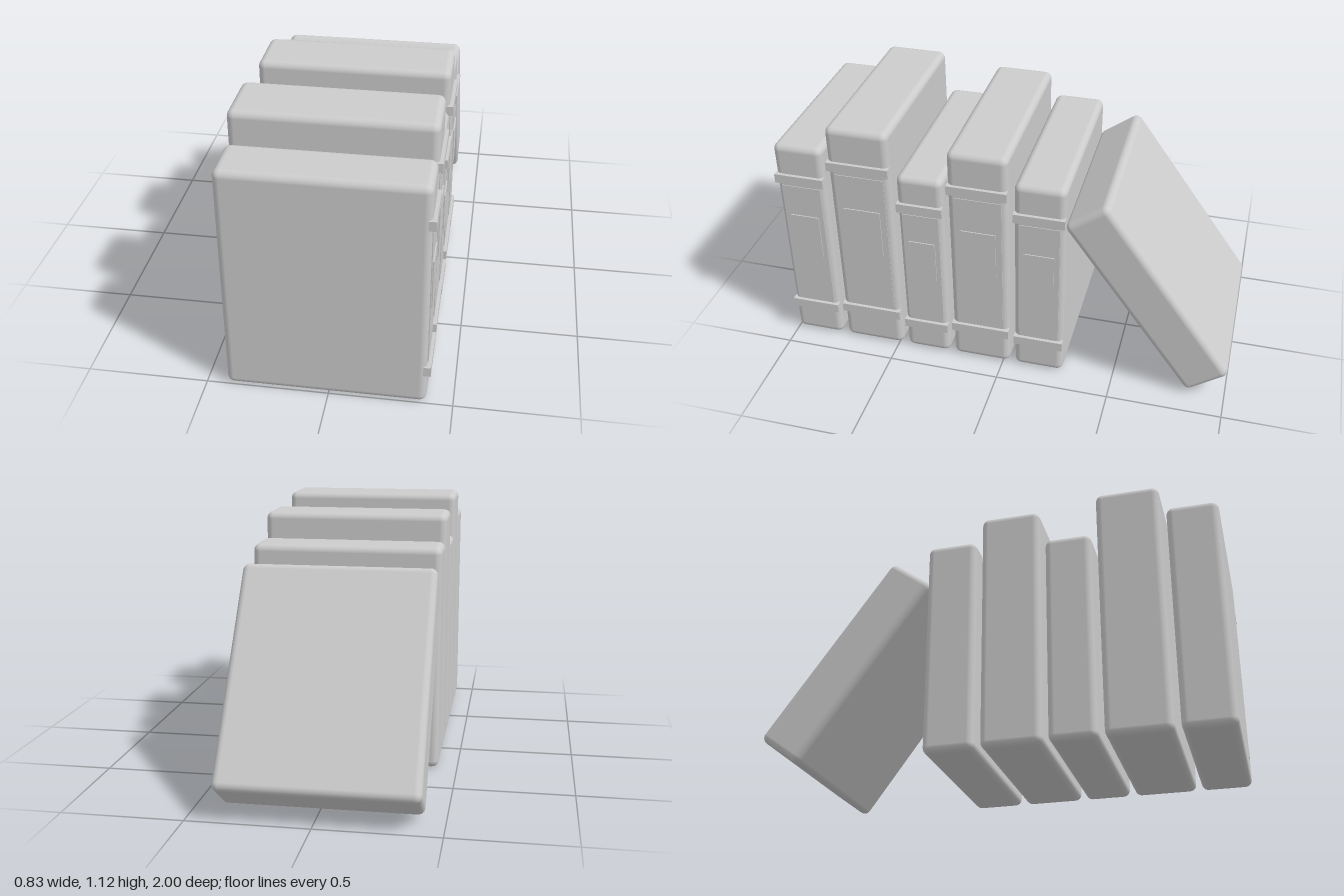
import * as THREE from 'three';
import { RoundedBoxGeometry } from 'three/addons/geometries/RoundedBoxGeometry.js';

const material = new THREE.MeshStandardMaterial({ color: 0xcccccc });
const BACK = -0.418, SPINE = 0.393;
const WIDTH = SPINE - BACK, MID = (SPINE + BACK) / 2;

function add(group, name, geometry, x, y, z) {
  const mesh = new THREE.Mesh(geometry, material);
  mesh.name = name;
  mesh.position.set(x, y, z);
  group.add(mesh);
  return mesh;
}

const bookBody = (height, thickness) =>
  new RoundedBoxGeometry(WIDTH, height, thickness, 4, 0.03);

// Upright book: rounded block with a decorated spine on +x
function uprightBook(height, thickness) {
  const book = new THREE.Group();
  add(book, 'bookBody', bookBody(height, thickness), MID, height / 2, 0);

  // Raised bands near the top and bottom of the spine
  for (const [name, t] of [['upperBand', 0.84], ['lowerBand', 0.16]]) {
    add(book, name, new THREE.BoxGeometry(0.03, 0.042, thickness), SPINE, height * t, 0);
  }
  // Thin spine panel with a small title plate on it
  add(book, 'spinePanel', new THREE.BoxGeometry(0.01, height * 0.605, thickness * 0.8),
    SPINE - 0.002, height / 2, 0);
  add(book, 'titlePlate', new THREE.BoxGeometry(0.01, height * 0.21, thickness * 0.6),
    SPINE + 0.003, height * 0.55, 0);
  return book;
}

export function createModel() {
  const model = new THREE.Group();
  model.name = 'bookRow';

  // Row of upright books: front z, back z, height
  const row = [
    [1.0, 0.78, 1.005],
    [0.755, 0.48, 1.12],
    [0.455, 0.253, 0.93],
    [0.23, -0.03, 1.08],
    [-0.055, -0.276, 0.97],
  ];
  row.forEach(([front, back, height], i) => {
    const book = uprightBook(height, front - back);
    book.name = `uprightBook${i + 1}`;
    book.position.z = (front + back) / 2;
    model.add(book);
  });

  // Plain book leaning against the back of the row
  const leaning = add(model, 'leaningBook', bookBody(0.97, 0.22), MID, 0.466, -0.6375);
  leaning.rotation.x = THREE.MathUtils.degToRad(36);
  return model;
}
